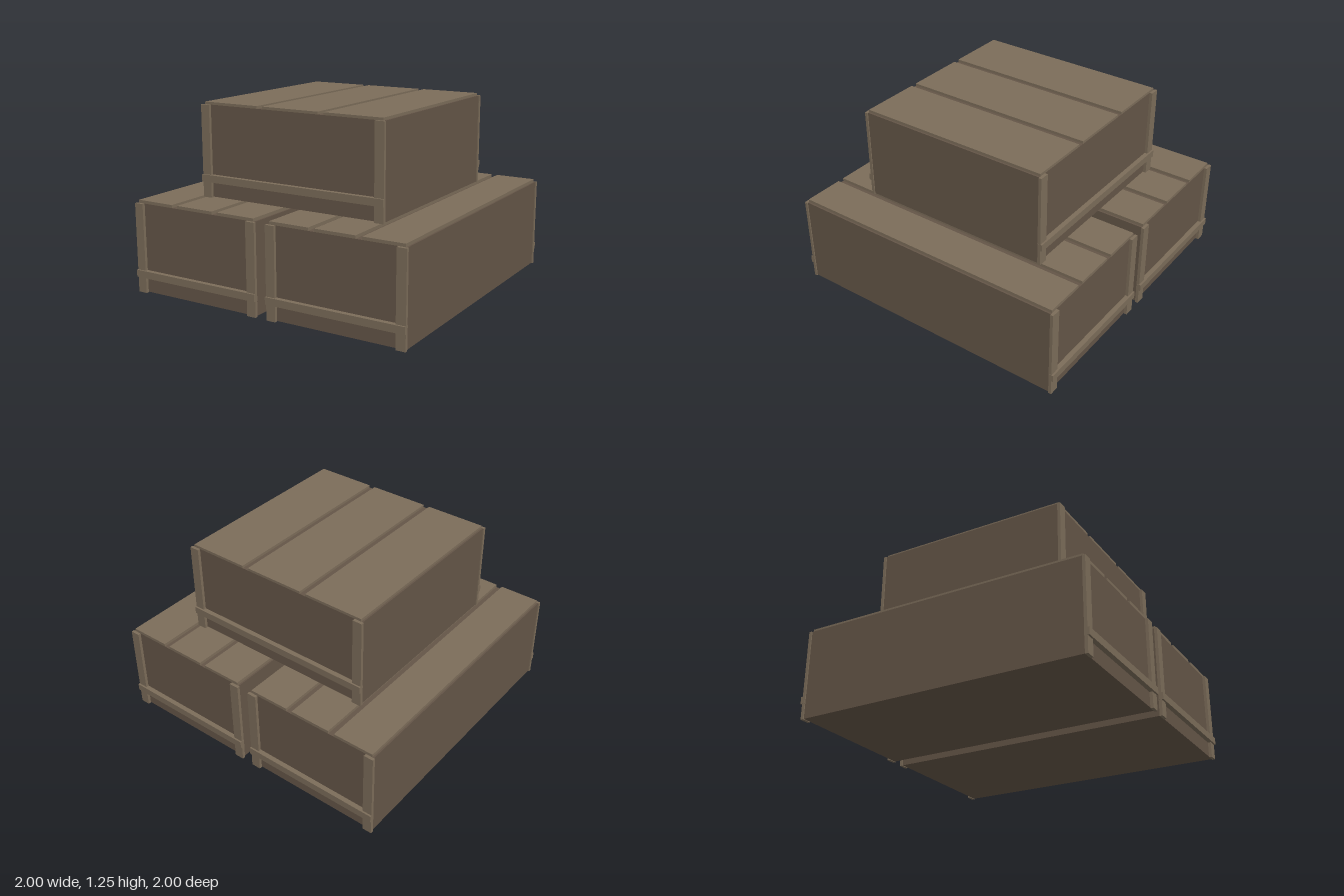
import * as THREE from 'three';

const trim = new THREE.MeshStandardMaterial({ color: 0x7b6c59 });
const panel = new THREE.MeshStandardMaterial({ color: 0x645547 });

// Box given by its lower and upper corners
function box(parent, name, material, [x0, y0, z0], [x1, y1, z1]) {
  const mesh = new THREE.Mesh(new THREE.BoxGeometry(x1 - x0, y1 - y0, z1 - z0), material);
  mesh.position.set((x0 + x1) / 2, (y0 + y1) / 2, (z0 + z1) / 2);
  mesh.name = name;
  parent.add(mesh);
}

// Crate standing on its own y = 0; w, h, d measure the body with its corner posts
function crate(name, w, h, d, lid, battenY) {
  const group = new THREE.Group();
  group.name = name;
  const x = w / 2, z = d / 2, inset = 0.02, post = 0.065;
  box(group, 'body', panel, [-x + 0.007, 0.004, -z + inset], [x - 0.007, h, z - inset]);

  for (const s of [-1, 1]) {
    const end = s > 0 ? 'front' : 'back';
    const [z0, z1] = s > 0 ? [z - inset, z] : [-z, -z + inset];
    // Corner posts on the end faces
    box(group, end + 'RightPost', trim, [-x, 0, z0], [-x + post, h, z1]);
    box(group, end + 'LeftPost', trim, [x - post, 0, z0], [x, h, z1]);
    // Horizontal batten across the posts
    const [b0, b1] = s > 0 ? [z - inset, z + 0.012] : [-z - 0.012, -z + inset];
    box(group, end + 'Batten', trim, [-x - 0.001, battenY, b0], [x + 0.001, battenY + 0.048, b1]);
  }

  // Three lid planks separated by narrow gaps
  const gap = 0.043, span = w - 0.036;
  const plank = (span - 2 * gap) / 3;
  for (let i = 0; i < 3; i++) {
    const px = -span / 2 + i * (plank + gap);
    box(group, 'lidPlank' + (i + 1), trim,
      [px, h, -z + inset], [px + plank, h + lid, z - inset]);
  }
  return group;
}

export function createModel() {
  const model = new THREE.Group();
  model.name = 'crateStack';

  // Two long crates side by side
  for (const s of [-1, 1]) {
    const lower = crate(s > 0 ? 'lowerLeftCrate' : 'lowerRightCrate', 0.958, 0.604, 1.976, 0.02, 0.106);
    lower.position.x = s * 0.52;
    model.add(lower);
  }

  // Square crate resting on both
  const upper = crate('upperCrate', 1.356, 0.612, 1.356, 0.017, 0.105);
  upper.position.y = 0.624;
  model.add(upper);
  return model;
}
